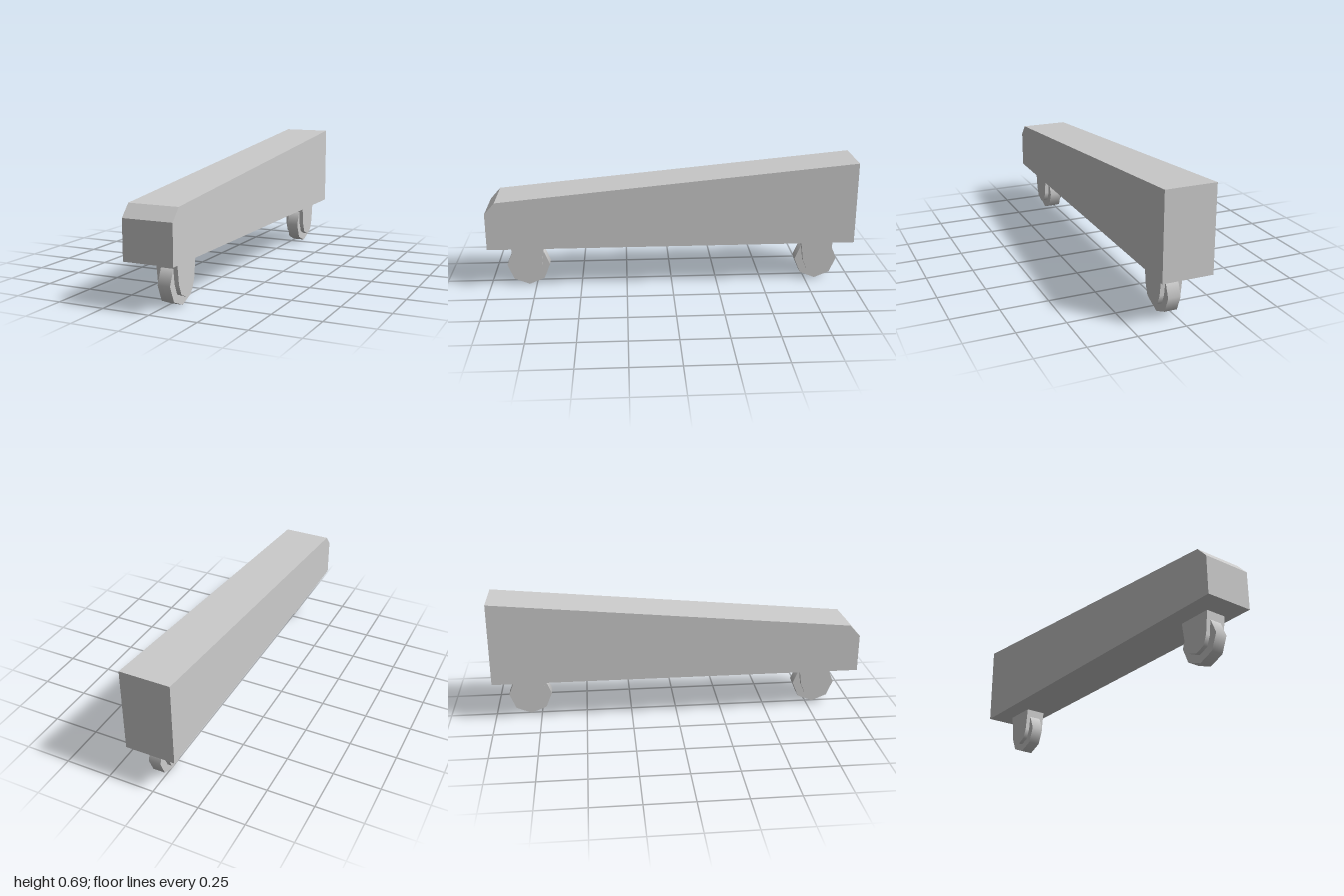
import * as THREE from 'three';

const BOTTOM = 0.2375; // underside of the body
const AXLE = 0.117; // wheel centre height
const material = new THREE.MeshStandardMaterial({ color: 0xcccccc });

function addMesh(parent, name, geometry) {
  const mesh = new THREE.Mesh(geometry, material);
  mesh.name = name;
  parent.add(mesh);
  return mesh;
}

// Eight-sided disc with its axis along x
function disc(radius, width) {
  return new THREE.CylinderGeometry(radius, radius, width, 8).rotateZ(Math.PI / 2);
}

// Rounded lower half, with the upper corners pulled up to the body
function forkGeometry() {
  const geometry = disc(0.074, 0.113);
  const pos = geometry.attributes.position;
  const normal = geometry.attributes.normal;
  for (let i = 0; i < pos.count; i++) {
    if (pos.getY(i) < 0.01) continue;
    const side = Math.abs(pos.getZ(i)) > 0.01 ? Math.sign(pos.getZ(i)) : 0;
    pos.setY(i, BOTTOM - AXLE);
    pos.setZ(i, side * 0.09);
    if (side && Math.abs(normal.getX(i)) < 0.5) normal.setXYZ(i, 0, 0, side);
  }
  return geometry;
}

function createCaster(name, z) {
  const caster = new THREE.Group();
  caster.name = name;
  caster.position.set(0.027, AXLE, z);
  addMesh(caster, 'wheel', disc(0.117, 0.066));
  addMesh(caster, 'fork', forkGeometry());
  return caster;
}

export function createModel() {
  const model = new THREE.Group();
  model.name = 'wedgeOnCasters';

  // Wedge body: side profile (z, y) extruded across the width
  const profile = new THREE.Shape([
    [1, BOTTOM], [1, 0.441], [0.944, 0.503], [-1, 0.688], [-1, BOTTOM],
  ].map(([z, y]) => new THREE.Vector2(z, y)));
  const width = 0.264;
  const body = new THREE.ExtrudeGeometry(profile, { depth: width, bevelEnabled: false });
  body.translate(0, 0, -width / 2).rotateY(-Math.PI / 2);
  addMesh(model, 'body', body);

  // One caster near each end
  model.add(createCaster('frontCaster', 0.79), createCaster('rearCaster', -0.808));
  return model;
}
